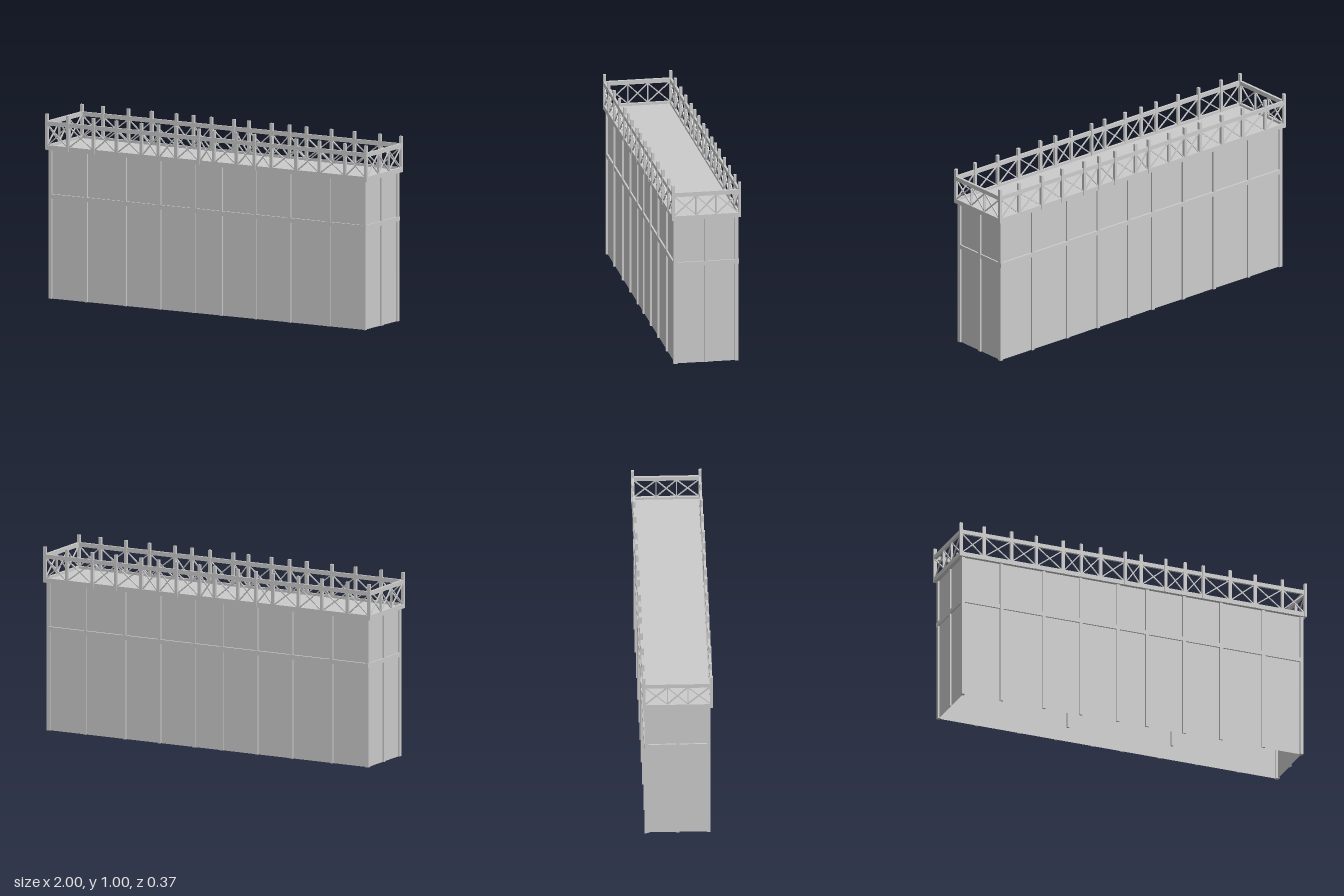
import * as THREE from 'three';

const mat = new THREE.MeshStandardMaterial({ color: 0xcccccc, flatShading: true });
const sheet = new THREE.MeshStandardMaterial({ color: 0xcccccc, side: THREE.DoubleSide });

// Box given by its min and max corners
function block(parent, name, x0, x1, y0, y1, z0, z1) {
  const m = new THREE.Mesh(new THREE.BoxGeometry(x1 - x0, y1 - y0, z1 - z0), mat);
  m.position.set((x0 + x1) / 2, (y0 + y1) / 2, (z0 + z1) / 2);
  m.name = name;
  parent.add(m);
}

// Thin square bar between two points
function bar(parent, name, a, b, t) {
  const m = new THREE.Mesh(new THREE.BoxGeometry(t, t, a.distanceTo(b)), mat);
  m.position.copy(a).add(b).multiplyScalar(0.5);
  m.lookAt(b);
  m.name = name;
  parent.add(m);
}

function wall(parent, name, w, h, x, z, ry) {
  const m = new THREE.Mesh(new THREE.PlaneGeometry(w, h), sheet);
  m.position.set(x, h / 2, z);
  m.rotation.y = ry;
  m.name = name;
  parent.add(m);
}

const mirrored = list => [...list.map(v => -v), ...[...list].reverse()];

export function createModel() {
  const model = new THREE.Group();
  model.name = 'tower';
  const body = new THREE.Group();
  body.name = 'body';
  const railing = new THREE.Group();
  railing.name = 'railing';
  model.add(body, railing);

  // Hollow body, open underneath
  const WX = 0.976, WZ = 0.166, OX = 0.985, OZ = 0.1755, H = 0.803;
  for (const s of [1, -1]) {
    wall(body, 'longWall', 2 * WX, H, 0, s * WZ, s > 0 ? 0 : Math.PI);
    wall(body, 'endWall', 2 * WZ, H, s * WX, 0, s * Math.PI / 2);
  }

  // Wall posts, corner posts and the middle rail
  const wallPosts = mirrored([0.755, 0.511, 0.298, 0.084]);
  for (const s of [1, -1]) {
    const zs = [s * WZ, s * OZ].sort((a, b) => a - b);
    const xs = [s * WX, s * OX].sort((a, b) => a - b);
    for (const x of wallPosts) block(body, 'wallPost', x - 0.009, x + 0.009, 0, H, ...zs);
    block(body, 'endWallPost', ...xs, 0, H, -0.009, 0.009);
    for (const t of [1, -1]) {
      const zc = [t * 0.156, t * OZ].sort((a, b) => a - b);
      const xc = [s * 0.966, s * OX].sort((a, b) => a - b);
      block(body, 'cornerPost', ...xc, 0, H, ...zc);
    }
    const zr = s > 0 ? [WZ, 0.175] : [-0.178, -WZ];
    block(body, 'longMiddleRail', -OX, OX, 0.54, 0.564, ...zr);
    block(body, 'endMiddleRail', ...[s * WX, s * 0.9845].sort((a, b) => a - b), 0.54, 0.564, -OZ, OZ);
    // Slim props inside the body
    block(body, 'innerProp', s * 0.3 - 0.006, s * 0.3 + 0.006, 0, H, -0.006, 0.006);
  }

  // Deck
  block(model, 'deck', -0.99, 0.99, 0.804, 0.815, -0.18, 0.18);

  // Rails around the deck
  const LOW = [0.803, 0.828], TOP = [0.934, 0.957];
  for (const s of [1, -1]) {
    for (const [y0, y1] of [LOW, TOP]) {
      block(railing, 'longRail', -0.998, 0.998, y0, y1, ...[s * 0.173, s * 0.1855].sort((a, b) => a - b));
      block(railing, 'endRail', ...[s * 0.985, s * 0.9995].sort((a, b) => a - b), y0, y1, -0.1865, 0.1865);
    }
  }

  // Cross braces filling one bay between two plan points
  const cross = (x0, z0, x1, z1) => {
    const v = (x, y, z) => new THREE.Vector3(x, y, z);
    bar(railing, 'brace', v(x0, LOW[1], z0), v(x1, TOP[0], z1), 0.006);
    bar(railing, 'brace', v(x0, TOP[0], z0), v(x1, LOW[1], z1), 0.006);
  };

  // Railing posts rise above the top rail
  const posts = mirrored([0.992, 0.86, 0.702, 0.558, 0.404, 0.299, 0.188, 0.046]);
  posts.sort((a, b) => a - b);
  const endBays = [-0.173, -0.054, 0.054, 0.173];
  for (const s of [1, -1]) {
    posts.forEach((x, i) => {
      block(railing, 'railingPost', x - 0.008, x + 0.008, 0.803, 0.997,
        ...[s * 0.172, s * 0.187].sort((a, b) => a - b));
      if (i) cross(posts[i - 1] + 0.008, s * 0.179, x - 0.008, s * 0.179);
    });
    for (let i = 1; i < endBays.length; i++) cross(s * 0.992, endBays[i - 1], s * 0.992, endBays[i]);
    for (const z of [-0.054, 0.054])
      block(railing, 'endRailingPost', s * 0.992 - 0.006, s * 0.992 + 0.006, LOW[1], TOP[0], z - 0.003, z + 0.003);
  }
  return model;
}
